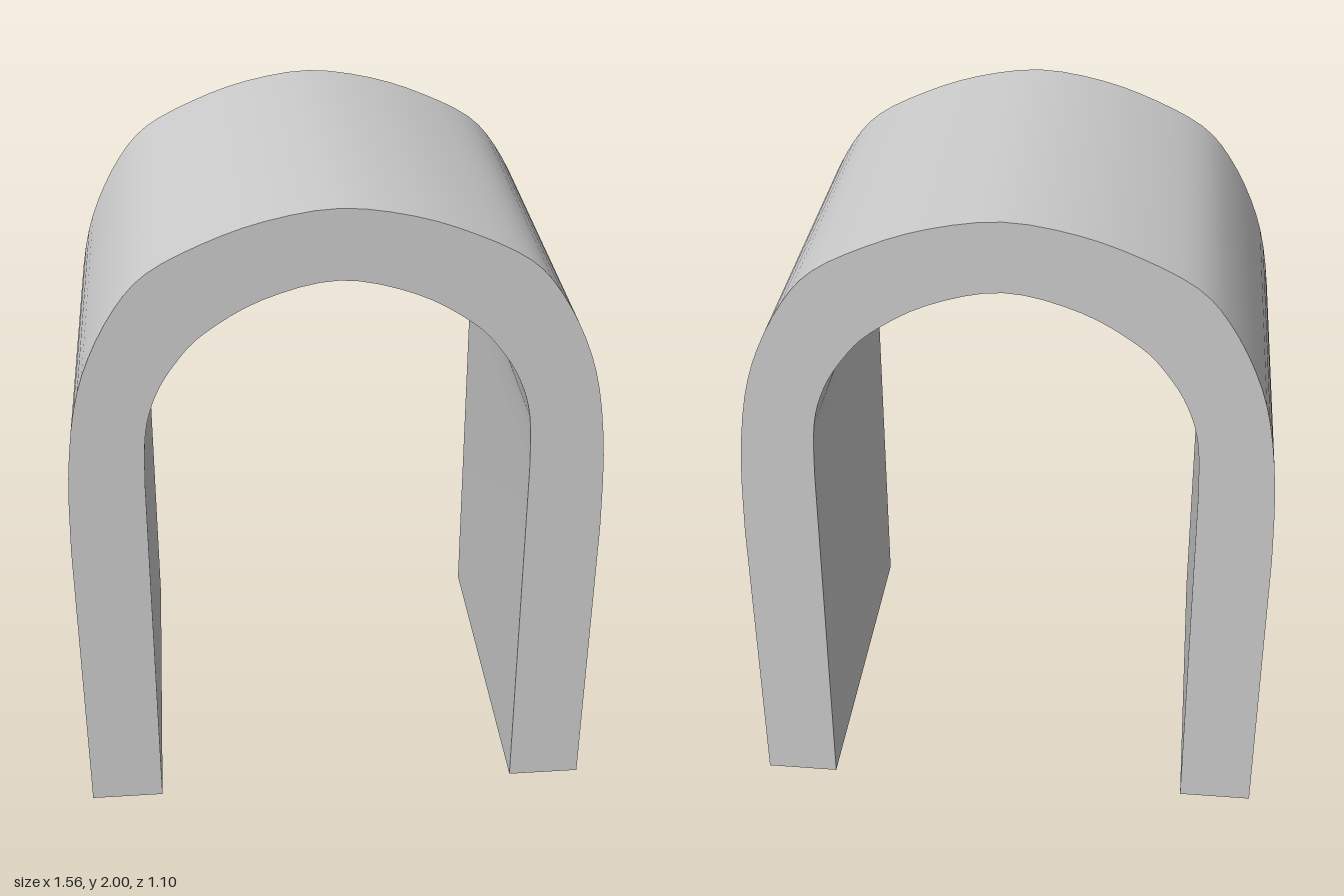
import * as THREE from 'three';
import { toCreasedNormals } from 'three/addons/utils/BufferGeometryUtils.js';

const DEPTH = 1.1;

// Right half of each curve, from the springing up to the crown
const OUTER = [[0.78, 0.95], [0.77, 1.2], [0.74, 1.42], [0.69, 1.58], [0.61, 1.73], [0.52, 1.83], [0.37, 1.91], [0.2, 1.97], [0, 2]];
const INNER = [[0.555, 1.17], [0.545, 1.34], [0.51, 1.46], [0.45, 1.56], [0.37, 1.645], [0.21, 1.74], [0, 1.79]];

// Mirrors a half curve into a smooth arch running from +x to -x
function archPoints(half) {
  const mirrored = half.slice(0, -1).reverse().map(([x, y]) => [-x, y]);
  const points = [...half, ...mirrored].map(([x, y]) => new THREE.Vector2(x, y));
  return new THREE.SplineCurve(points).getPoints(48);
}

export function createModel() {
  const group = new THREE.Group();
  group.name = 'archway';

  // Arch outline: up the outside, over the crown, back along the inside
  const outline = [
    new THREE.Vector2(0.78, 0),
    ...archPoints(OUTER),
    new THREE.Vector2(-0.78, 0),
    new THREE.Vector2(-0.56, 0),
    ...archPoints(INNER).reverse(),
    new THREE.Vector2(0.56, 0),
  ];

  // Vault: the outline carried straight through the depth
  const geometry = new THREE.ExtrudeGeometry(new THREE.Shape(outline), {
    depth: DEPTH,
    bevelEnabled: false,
  });
  geometry.translate(0, 0, -DEPTH / 2);

  const arch = new THREE.Mesh(
    toCreasedNormals(geometry, Math.PI / 5),
    new THREE.MeshStandardMaterial({ color: 0xcccccc })
  );
  arch.name = 'arch';
  group.add(arch);
  return group;
}
